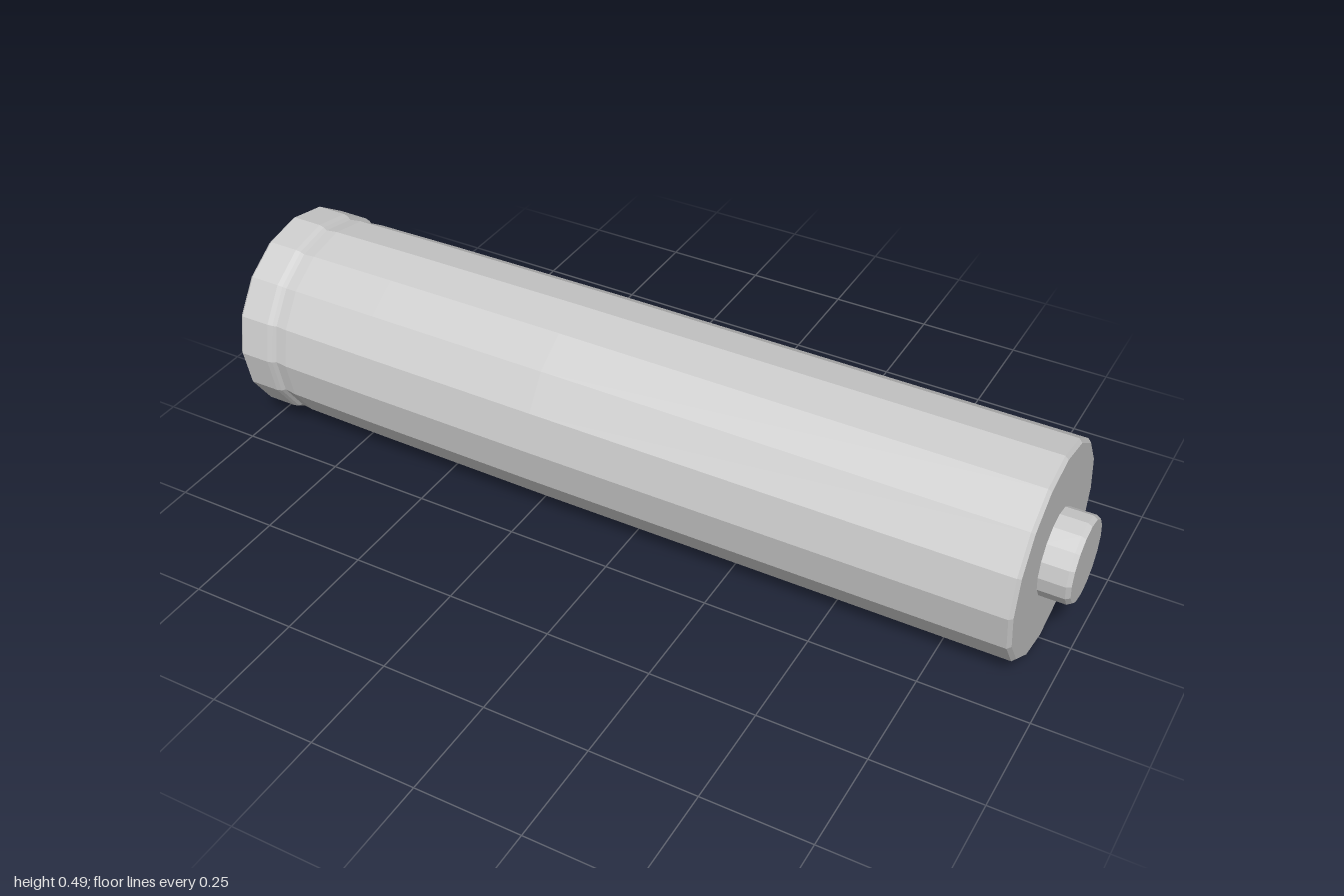
import * as THREE from 'three';

const SIDES = 16;
const AXIS_Y = 0.246;

export function createModel() {
  const metal = new THREE.MeshStandardMaterial({ color: 0xcccccc, flatShading: true });
  metal.name = 'greyMetal';

  const battery = new THREE.Group();
  battery.name = 'battery';

  // Turned part lying along x; profile is a list of [x, radius]
  const turned = (name, profile) => {
    const points = profile.map(([x, r]) => new THREE.Vector2(r, x));
    const geometry = new THREE.LatheGeometry(points, SIDES);
    geometry.rotateZ(-Math.PI / 2);
    const mesh = new THREE.Mesh(geometry, metal);
    mesh.name = name;
    mesh.position.y = AXIS_Y;
    battery.add(mesh);
  };

  // Flat negative end with its raised rim and the groove behind it
  turned('negativeCap', [
    [-1, 0], [-1, 0.239], [-0.993, 0.245], [-0.92, 0.245], [-0.908, 0.242], [-0.9, 0.236],
  ]);

  // Long casing, swelling slightly out of the groove, closed at the positive end
  turned('casing', [
    [-0.9, 0.236], [-0.87, 0.24], [-0.65, 0.243], [-0.2, 0.246],
    [0.922, 0.245], [0.93, 0.237], [0.93, 0],
  ]);

  // Positive button
  turned('positiveTerminal', [
    [0.925, 0.098], [0.99, 0.098], [1, 0.092], [1, 0],
  ]);

  return battery;
}
